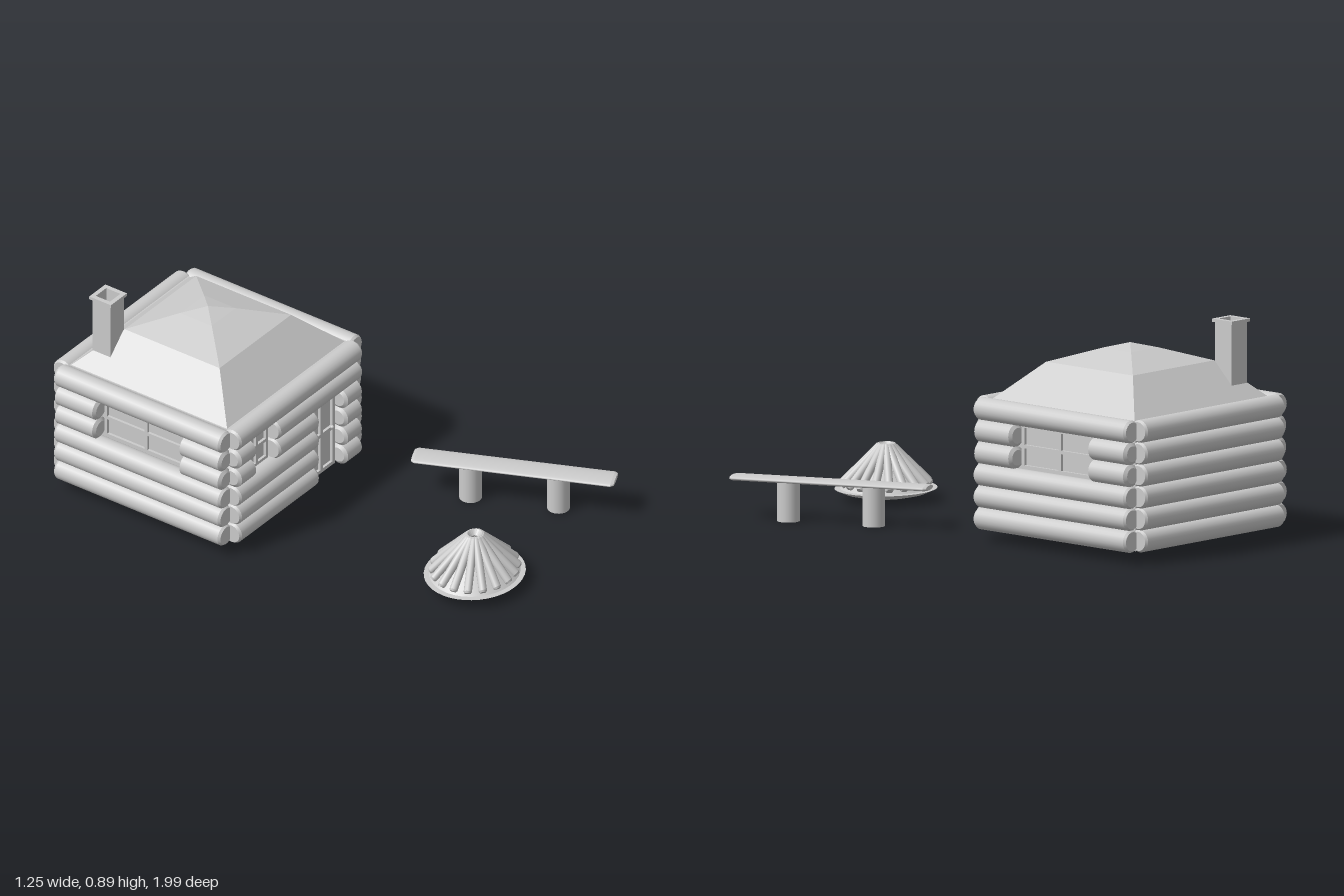
import * as THREE from 'three';

const smooth = new THREE.MeshStandardMaterial({ color: 0xcccccc });
const flat = new THREE.MeshStandardMaterial({ color: 0xcccccc, flatShading: true });
const thin = new THREE.MeshStandardMaterial({ color: 0xcccccc, side: THREE.DoubleSide, flatShading: true });

function add(parent, name, geometry, material = smooth, x = 0, y = 0, z = 0) {
  const mesh = new THREE.Mesh(geometry, material);
  mesh.name = name;
  mesh.position.set(x, y, z);
  parent.add(mesh);
  return mesh;
}

function group(parent, name, x = 0, y = 0, z = 0) {
  const g = new THREE.Group();
  g.name = name;
  g.position.set(x, y, z);
  parent.add(g);
  return g;
}

// Upright log with bevelled ends; points are doubled to keep the rims sharp
function logGeometry(length, r, endRatio = 0.85, bevel = 0.01, sides = 24) {
  const h = length / 2, e = r * endRatio;
  const pts = [[0, -h], [e, -h], [e, -h], [r, -h + bevel], [r, -h + bevel],
    [r, h - bevel], [r, h - bevel], [e, h], [e, h], [0, h]];
  return new THREE.LatheGeometry(pts.map(p => new THREE.Vector2(...p)), sides);
}

const ROWS = 6, LOG_R = 0.046, PITCH = 0.089, FIRST_Y = 0.091;
const CORE_X = 0.4, CORE_Z = 0.398;

// Wall of stacked logs along x; gaps are [from, to, firstRow, lastRow]
function logWall(house, name, half, offset, turn, gaps = []) {
  const wall = group(house, name);
  wall.rotation.y = turn;
  for (let row = 0; row < ROWS; row++) {
    const open = gaps.filter(g => row >= g[2] && row <= g[3]).sort((a, b) => a[0] - b[0]);
    let start = -half;
    for (const [from, to] of [...open, [half, half]]) {
      const length = from - start;
      const geo = logGeometry(length, LOG_R, length < 0.25 ? 0.7 : 0.85).rotateZ(Math.PI / 2);
      add(wall, 'wallLog', geo, smooth, start + length / 2, FIRST_Y + row * PITCH, offset);
      start = to;
    }
  }
  return wall;
}

// Frame with crossing bars, facing +z
function paneFrame(parent, name, x0, x1, y0, y1, z, bar) {
  const g = group(parent, name, (x0 + x1) / 2, (y0 + y1) / 2, z);
  const w = x1 - x0, h = y1 - y0;
  for (const s of [-1, 0, 1]) {
    add(g, 'uprightBar', new THREE.BoxGeometry(bar, h, 0.014), flat, s * (w - bar) / 2);
    add(g, 'crossBar', new THREE.BoxGeometry(w, bar, 0.013), flat, 0, s * (h - bar) / 2);
  }
  return g;
}

// Square tube, open through the middle
function squareTube(outer, inner, height) {
  const square = (P, s) => new P([[-s, -s], [s, -s], [s, s], [-s, s]].map(p => new THREE.Vector2(...p)));
  const shape = square(THREE.Shape, outer / 2);
  shape.holes.push(square(THREE.Path, inner / 2));
  return new THREE.ExtrudeGeometry(shape, { depth: height, bevelEnabled: false }).rotateX(-Math.PI / 2);
}

function buildCabin(root) {
  const house = group(root, 'cabin', -0.157, 0, -0.53);
  add(house, 'innerWalls', new THREE.BoxGeometry(CORE_X * 2, 0.525, CORE_Z * 2), flat, 0, 0.3085, 0);

  // Walls: door and small window in front, wide windows at both sides
  const door = [0.122, 0.3, 0, 3], small = [-0.298, -0.148, 3, 4], wide = [-0.21, 0.205, 3, 4];
  const front = logWall(house, 'frontWall', 0.412, 0.423, 0, [small, door]);
  logWall(house, 'backWall', 0.412, 0.423, Math.PI);
  const left = logWall(house, 'leftWall', 0.415, 0.435, Math.PI / 2, [wide]);
  const right = logWall(house, 'rightWall', 0.415, 0.435, -Math.PI / 2, [wide]);

  const y0 = 0.312, y1 = 0.492;
  paneFrame(front, 'frontWindow', small[0], small[1], y0, y1, CORE_Z + 0.005, 0.014);
  for (const wall of [left, right])
    paneFrame(wall, 'sideWindow', wide[0], wide[1], y0, y1, CORE_X + 0.005, 0.014);
  paneFrame(front, 'door', door[0], door[1], 0.046, 0.402, CORE_Z + 0.005, 0.016);
  add(front, 'doorKnob', new THREE.SphereGeometry(0.008, 12, 8), smooth, 0.274, 0.234, CORE_Z + 0.018);

  // Hipped roof, flattening towards the peak
  const profile = [[0, 0.565], [0.4, 0.565], [0.24, 0.72], [0.08, 0.775], [0, 0.797]];
  const roof = new THREE.LatheGeometry(
    profile.map(([r, y]) => new THREE.Vector2(r * Math.SQRT2, y)), 4, Math.PI / 4);
  add(house, 'roof', roof.scale(1, 1, 0.985), flat);

  // Hollow chimney with a rim
  const chimney = group(house, 'chimney', -0.286, 0, -0.285);
  add(chimney, 'chimneyShaft', squareTube(0.09, 0.07, 0.33), thin, 0, 0.55, 0);
  add(chimney, 'chimneyRim', squareTube(0.108, 0.07, 0.013), thin, 0, 0.877, 0);
}

function buildCampfire(root) {
  const fire = group(root, 'campfire', -0.155, 0, 0.798);
  fire.scale.z = 0.91;
  // Shallow rounded base
  const bowl = [[0, 0.01], [0.06, 0.012], [0.12, 0.018], [0.175, 0.03], [0.217, 0.048], [0.217, 0.048], [0, 0.05]];
  add(fire, 'fireBase', new THREE.LatheGeometry(bowl.map(p => new THREE.Vector2(...p)), 40));
  add(fire, 'emberMound', new THREE.ConeGeometry(0.195, 0.165, 32), smooth, 0, 0.05 + 0.0825, 0);
  // Sticks leaning together at the top
  const count = 18, up = new THREE.Vector3(0, 1, 0);
  for (let i = 0; i < count; i++) {
    const a = i / count * Math.PI * 2;
    const foot = new THREE.Vector3(Math.sin(a) * 0.19, 0.062, Math.cos(a) * 0.19);
    const tip = new THREE.Vector3(Math.sin(a) * 0.022, 0.222, Math.cos(a) * 0.022);
    const dir = tip.clone().sub(foot);
    const stick = add(fire, 'stick', logGeometry(dir.length(), 0.018, 0.75, 0.008, 12));
    stick.position.copy(foot).add(tip).multiplyScalar(0.5);
    stick.quaternion.setFromUnitVectors(up, dir.normalize());
  }
}

function buildBench(root) {
  const bench = group(root, 'bench', 0.399, 0, 0.585);
  bench.rotation.y = Math.atan2(0.41, 0.912);
  // Flattened log as the seat
  const seat = logGeometry(0.83, 0.055, 0.8, 0.012).rotateX(Math.PI / 2).scale(1, 0.22, 1);
  add(bench, 'benchSeat', seat, smooth, 0, 0.167, 0);
  for (const s of [-1, 1])
    add(bench, 'benchLeg', new THREE.CylinderGeometry(0.046, 0.046, 0.163, 24), smooth, 0, 0.0815, s * 0.18);
}

export function createModel() {
  const root = new THREE.Group();
  root.name = 'cabinCamp';
  buildCabin(root);
  buildCampfire(root);
  buildBench(root);
  return root;
}
